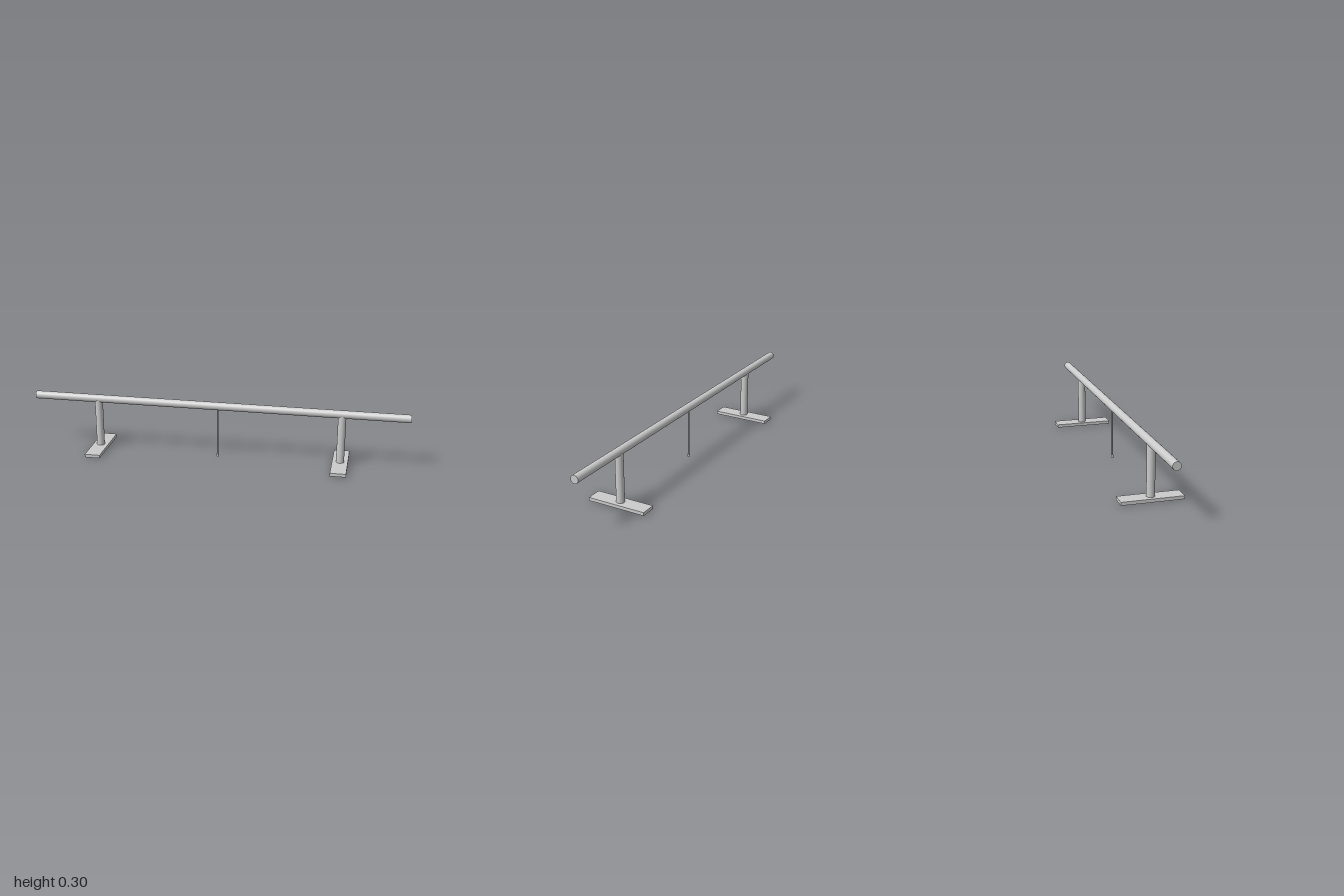
import * as THREE from 'three';

export function createModel() {
  const model = new THREE.Group();
  const material = new THREE.MeshStandardMaterial({ color: 0xcccccc });

  function add(name, geometry, x, y, z = 0) {
    const mesh = new THREE.Mesh(geometry, material);
    mesh.name = name;
    mesh.position.set(x, y, z);
    model.add(mesh);
    return mesh;
  }

  // Upright cylinder spanning two heights
  function upright(name, radius, bottom, top, x) {
    const geometry = new THREE.CylinderGeometry(radius, radius, top - bottom, 32);
    return add(name, geometry, x, (bottom + top) / 2);
  }

  // Long horizontal rail
  const rail = new THREE.CylinderGeometry(0.021, 0.021, 2, 32);
  rail.rotateZ(Math.PI / 2);
  add('rail', rail, 0, 0.283);

  // Mirrored posts on flat feet
  for (const [side, x] of [['right', -0.651], ['left', 0.651]]) {
    upright(side + 'Post', 0.021, 0.017, 0.276, x);
    add(side + 'Foot', new THREE.BoxGeometry(0.082, 0.017, 0.314), x, 0.0105);
  }

  // Thin central rod with a small end stop
  upright('centreRod', 0.0045, 0.01, 0.27, 0);
  upright('rodEnd', 0.007, 0, 0.014, 0);

  return model;
}
